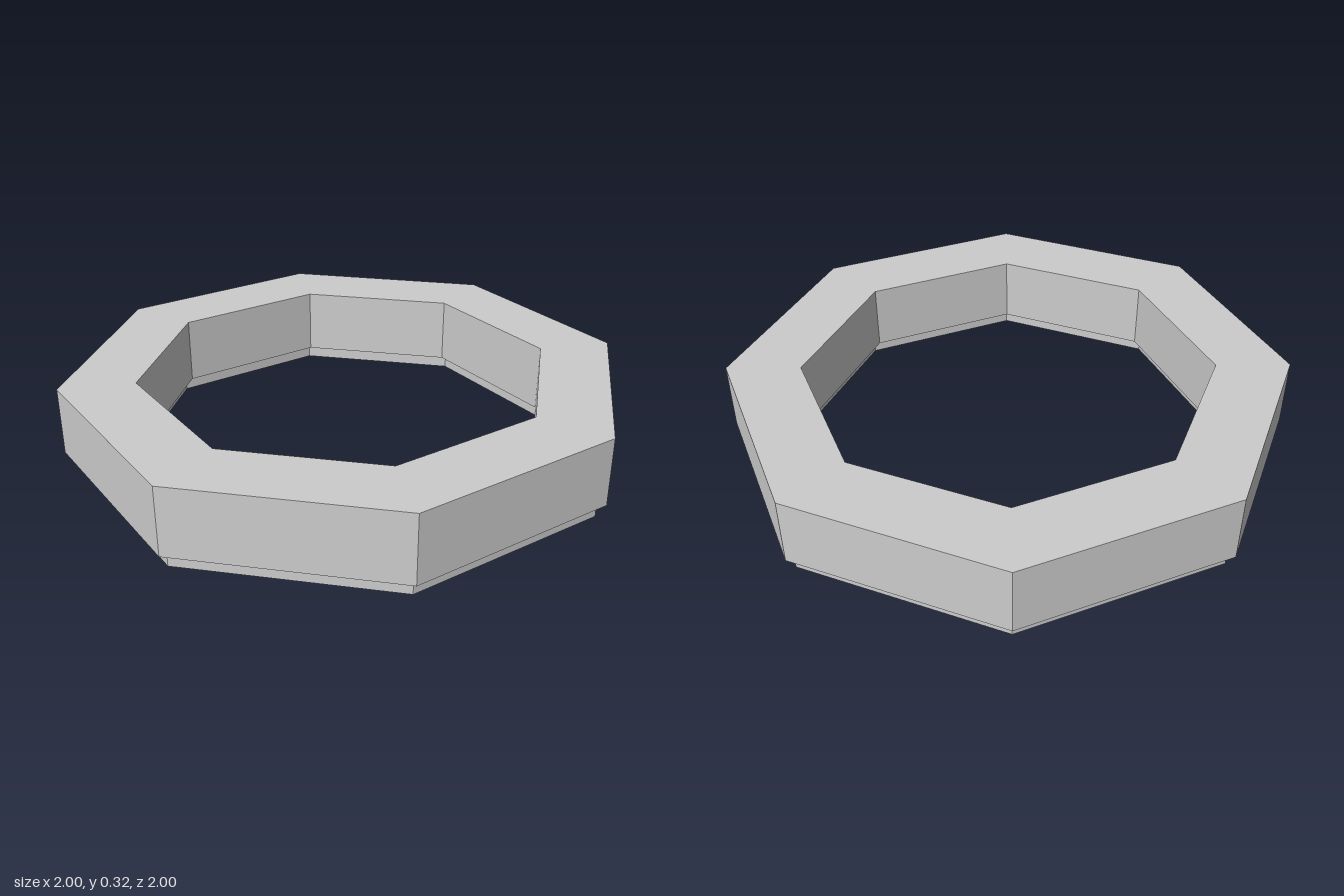
import * as THREE from 'three';

const SIDES = 8;

// Octagon corners with flat sides facing the axes, sized by centre-to-side distance
function octagon(apothem) {
  const radius = apothem / Math.cos(Math.PI / SIDES);
  return Array.from({ length: SIDES }, (_, i) => {
    const a = ((i + 0.5) / SIDES) * Math.PI * 2;
    return new THREE.Vector2(Math.cos(a) * radius, Math.sin(a) * radius);
  });
}

// Upright octagonal ring between two heights
function ring(name, outer, inner, bottom, top, material) {
  const shape = new THREE.Shape(octagon(outer));
  shape.holes.push(new THREE.Path(octagon(inner)));
  const geometry = new THREE.ExtrudeGeometry(shape, { depth: top - bottom, bevelEnabled: false });
  geometry.rotateX(-Math.PI / 2);
  geometry.translate(0, bottom, 0);
  const mesh = new THREE.Mesh(geometry, material);
  mesh.name = name;
  return mesh;
}

export function createModel() {
  const grey = new THREE.MeshStandardMaterial({ color: 0xcccccc });
  grey.name = 'light grey';

  const model = new THREE.Group();
  model.name = 'octagonalRing';
  // Tall main ring over a narrower foot, inset on both edges
  model.add(ring('mainRing', 1, 0.735, 0.057, 0.32, grey));
  model.add(ring('footRing', 0.967, 0.768, 0, 0.057, grey));
  return model;
}
